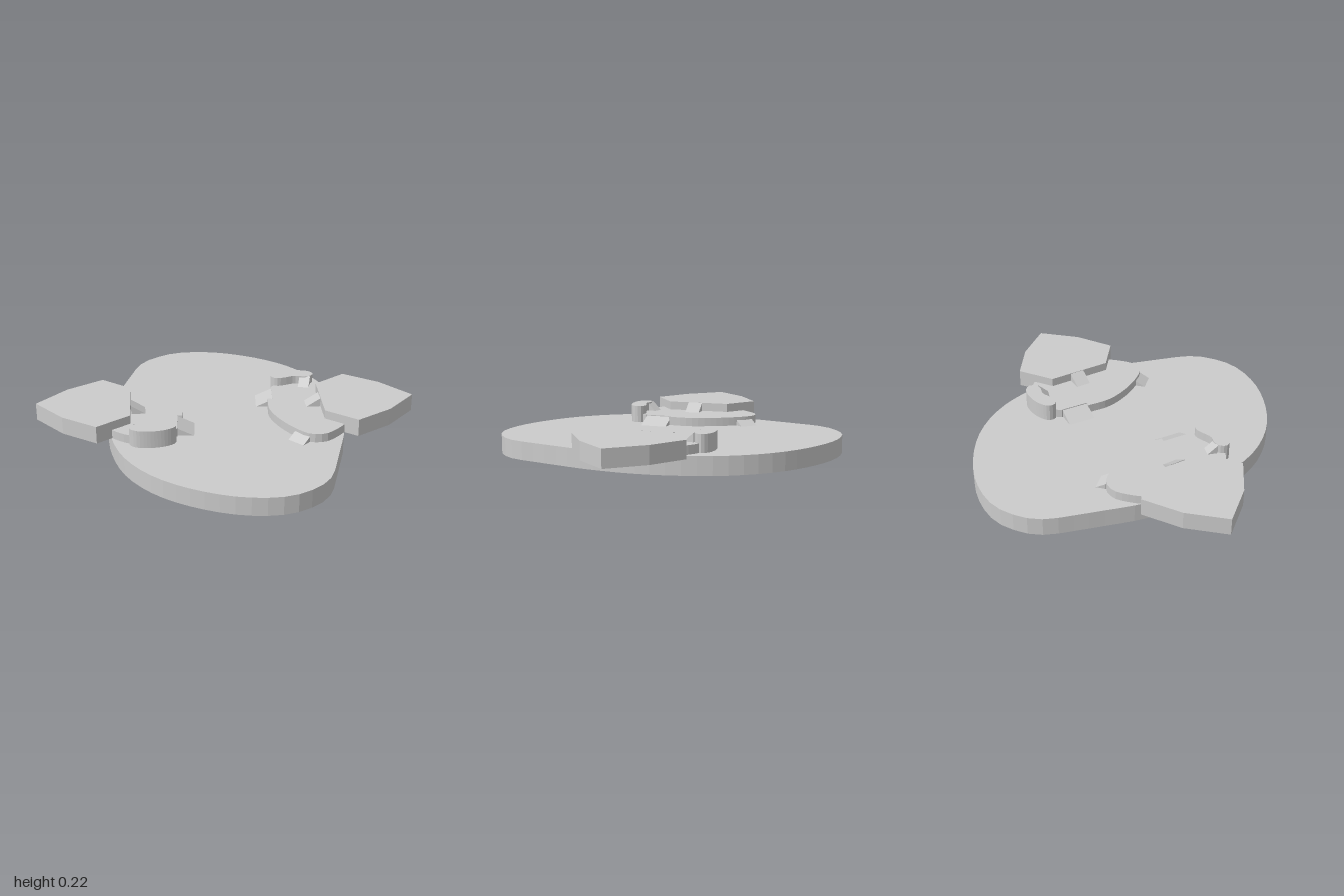
import * as THREE from 'three';

const material = new THREE.MeshStandardMaterial({
  color: 0xcccccc, flatShading: true, side: THREE.DoubleSide,
});

// Smooth line through a few [x, z] points.
function smooth(points, count, closed = true) {
  const curve = new THREE.CatmullRomCurve3(points.map(([x, z]) => new THREE.Vector3(x, 0, z)), closed);
  const line = curve.getSpacedPoints(count).map((p) => [p.x, p.z]);
  return closed ? line.slice(0, -1) : line;
}

// Hollow slab, open underneath: a top and walls along an [x, z] outline.
function slab(name, outline, bottom, top) {
  const shape = new THREE.Shape(outline.map(([x, z]) => new THREE.Vector2(x, z)));
  const solid = new THREE.ExtrudeGeometry(shape, { depth: top - bottom, bevelEnabled: false });
  solid.rotateX(Math.PI / 2).translate(0, top, 0);
  // The first group holds the upper lid, then the lower lid, which is left out
  const lids = solid.groups[0].count * 3;
  const corners = solid.attributes.position.array;
  const kept = [...corners.subarray(0, lids / 2), ...corners.subarray(lids)];
  const geometry = new THREE.BufferGeometry();
  geometry.setAttribute('position', new THREE.Float32BufferAttribute(kept, 3));
  geometry.computeVertexNormals();
  const mesh = new THREE.Mesh(geometry, material);
  mesh.name = name;
  return mesh;
}

// Triangular ramp from the middle of its high edge to the middle of its low edge.
function ramp(name, [hx, hz], [lx, lz], width, bottom, top) {
  const length = Math.hypot(lx - hx, lz - hz);
  const shape = new THREE.Shape([
    new THREE.Vector2(0, 0), new THREE.Vector2(length, 0), new THREE.Vector2(0, top - bottom),
  ]);
  const geometry = new THREE.ExtrudeGeometry(shape, { depth: width, bevelEnabled: false });
  geometry.translate(0, 0, -width / 2);
  const mesh = new THREE.Mesh(geometry, material);
  mesh.position.set(hx, bottom, hz);
  mesh.rotation.y = Math.atan2(hz - lz, lx - hx);
  mesh.name = name;
  return mesh;
}

// Raised platforms of one end, with the ramps that join the levels.
function createEnd() {
  const end = new THREE.Group();
  const terrace = [
    [0.118, -0.273], [0.22, -0.165], [0.36, -0.095], [0.52, -0.058], [0.63, -0.06],
    [0.695, -0.12], [0.71, -0.22], [0.69, -0.38], [0.6, -0.58], [0.47, -0.67],
    [0.31, -0.7], [0.17, -0.68], [0.06, -0.6], [0.015, -0.5], [0.02, -0.42],
  ];
  // The terrace is notched where the side ramp runs up to it
  const notch = [[0.027, -0.417], [0.144, -0.289]];
  const ridge = [
    [0.175, -0.65], [0.155, -0.61], [0.1, -0.575], [0.07, -0.515], [0.04, -0.468], [-0.002, -0.458],
    [-0.033, -0.49], [-0.02, -0.56], [0.04, -0.645], [0.11, -0.692], [0.16, -0.688],
  ];
  const upper = [
    [0.316, -0.81], [0.567, -0.86], [0.84, -0.84], [0.855, -0.57],
    [0.8, -0.315], [0.567, -0.283], [0.278, -0.567],
  ];
  end.add(
    slab('terrace', [...smooth(terrace, 48, false), ...notch], 0.115, 0.17),
    slab('curvedRidge', smooth(ridge, 32), 0.115, 0.225),
    slab('upperPlatform', upper, 0.115, 0.225),
    ramp('terraceFrontRamp', [0.57, -0.057], [0.57, 0.005], 0.115, 0.115, 0.15),
    ramp('terraceSideRamp', [0.086, -0.353], [0.008, -0.282], 0.173, 0.115, 0.165),
    ramp('platformRamp', [0.405, -0.437], [0.345, -0.373], 0.095, 0.17, 0.225),
    ramp('ridgeRamp', [0.15, -0.618], [0.18, -0.562], 0.07, 0.17, 0.225),
  );
  return end;
}

export function createModel() {
  const model = new THREE.Group();
  model.name = 'terracedBase';

  // Base plate: half of the outline, turned half round for the rest
  const half = [
    [-1, -0.3], [-0.95, -0.51], [-0.775, -0.693], [-0.51, -0.82], [-0.23, -0.87], [0.05, -0.83],
    [0.31, -0.7], [0.52, -0.53], [0.715, -0.285], [0.815, -0.113], [0.91, 0.055], [0.98, 0.19],
  ];
  const outline = [...half, ...half.map(([x, z]) => [-x, -z])];
  model.add(slab('basePlate', smooth(outline, 64), 0, 0.115));

  // Two identical ends facing each other
  ['backLeftEnd', 'frontRightEnd'].forEach((name, i) => {
    const end = createEnd();
    end.name = name;
    end.rotation.y = i * Math.PI;
    model.add(end);
  });
  return model;
}
